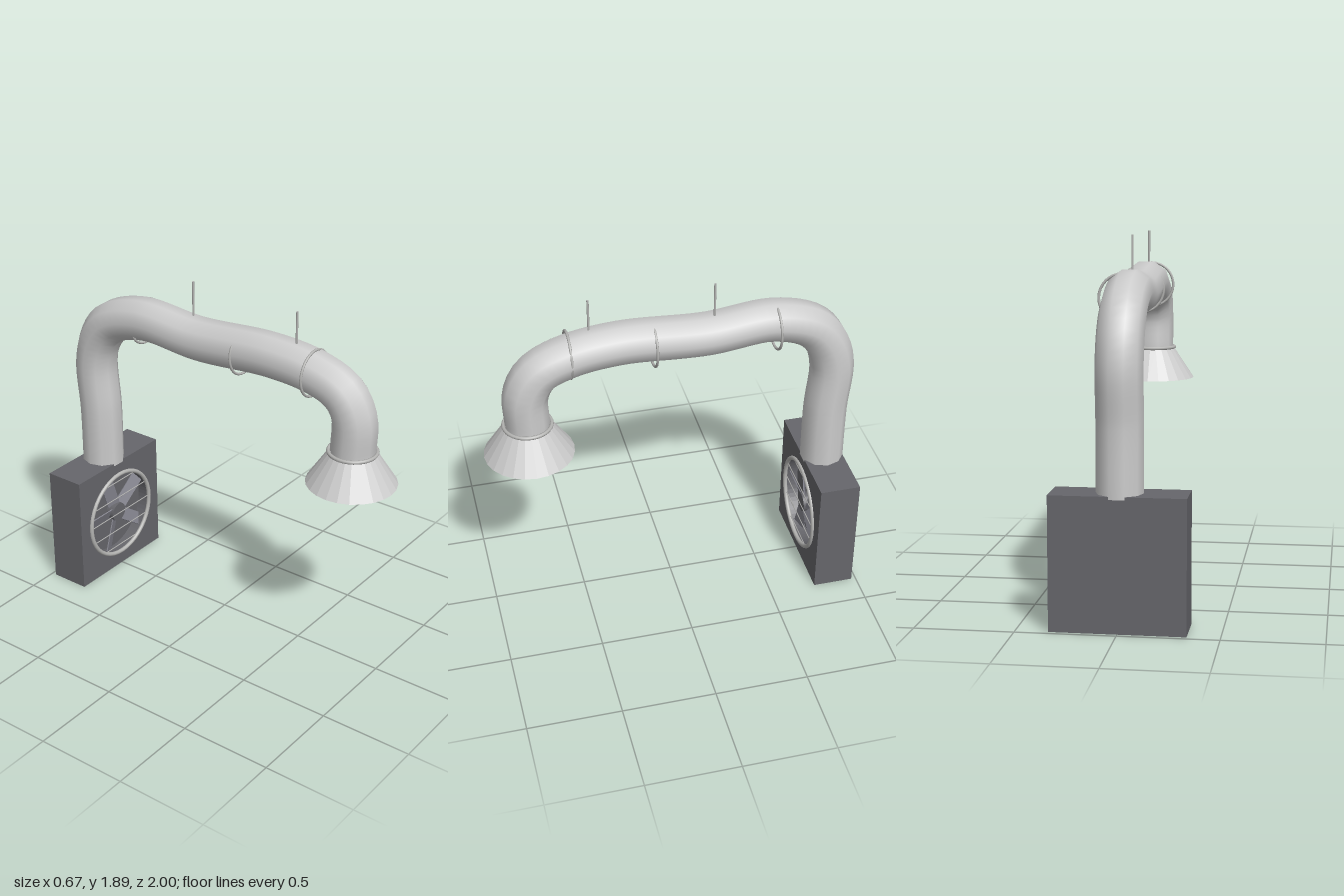
import * as THREE from 'three';

export function createModel() {
  const model = new THREE.Group();
  model.name = 'ventilationDuct';

  const material = (name, color, extra = {}) => {
    const m = new THREE.MeshStandardMaterial({ color, ...extra });
    m.name = name;
    return m;
  };
  const ductMetal = material('ductMetal', 0xcccccc);
  const hoodMetal = material('hoodMetal', 0xcccccc, { flatShading: true });
  const trimMetal = material('trimMetal', 0xb4b4b2);
  const housingGrey = material('housingGrey', 0x66666b);
  const bladeGrey = material('bladeGrey', 0x85858f);

  const add = (name, geometry, mat, x = 0, y = 0, z = 0, parent = model) => {
    const mesh = new THREE.Mesh(geometry, mat);
    mesh.name = name;
    mesh.position.set(x, y, z);
    parent.add(mesh);
    return mesh;
  };

  // Fan housing: solid back slab and a front plate with a round opening
  const half = 0.337, fanY = 0.338, front = -0.755, recess = 0.07, back = -0.975;
  const slab = front - recess - back;
  add('housingBack', new THREE.BoxGeometry(half * 2, half * 2, slab), housingGrey, 0, half, back + slab / 2);
  const plate = new THREE.Shape([[-1, -1], [1, -1], [1, 1], [-1, 1]]
    .map(([x, y]) => new THREE.Vector2(x * half, y * half)));
  const opening = new THREE.Path();
  opening.absarc(0, 0, 0.25, 0, Math.PI * 2, true);
  plate.holes.push(opening);
  add('housingFront', new THREE.ExtrudeGeometry(plate, { depth: recess, bevelEnabled: false, curveSegments: 32 }),
    housingGrey, 0, half, front - recess);

  // Fan with five pitched blades
  const fan = new THREE.Group();
  fan.name = 'fan';
  fan.position.set(0, fanY, -0.79);
  model.add(fan);
  const hub = add('fanHub', new THREE.CylinderGeometry(0.055, 0.055, 0.05, 20), housingGrey, 0, 0, 0, fan);
  hub.rotation.x = Math.PI / 2;
  for (let i = 0; i < 5; i++) {
    const arm = new THREE.Group();
    arm.name = 'bladeArm';
    arm.rotation.z = Math.PI + (i * Math.PI * 2) / 5;
    fan.add(arm);
    const blade = add('fanBlade', new THREE.BoxGeometry(0.195, 0.074, 0.006), bladeGrey, 0.145, 0, 0, arm);
    blade.rotation.x = -0.4;
  }

  // Guard ring and horizontal bars
  add('guardRing', new THREE.TorusGeometry(0.255, 0.012, 10, 40), trimMetal, 0, fanY, -0.752);
  for (let i = -2; i <= 2; i++) {
    const dy = i * 0.105;
    const bar = add('guardBar', new THREE.CylinderGeometry(0.003, 0.003, 2 * Math.sqrt(0.0635 - dy * dy), 6),
      trimMetal, 0, fanY + dy, -0.756);
    bar.rotation.z = Math.PI / 2;
  }

  // Duct: riser, overhead run and front drop
  const path = new THREE.CatmullRomCurve3([
    [0, 0.66, -0.865], [0, 1.0, -0.867], [0, 1.28, -0.885], [0, 1.43, -0.845],
    [0, 1.54, -0.755], [0.005, 1.61, -0.54], [0.016, 1.588, -0.18], [0.03, 1.614, 0.28],
    [0.042, 1.585, 0.54], [0.05, 1.515, 0.7], [0.053, 1.4, 0.765], [0.053, 1.2, 0.765],
  ].map((p) => new THREE.Vector3(...p)));
  add('duct', new THREE.TubeGeometry(path, 64, 0.118, 10, false), ductMetal);

  // Intake hood and its collar
  add('hood', new THREE.CylinderGeometry(0.125, 0.237, 0.17, 24), hoodMetal, 0.053, 1.12, 0.765);
  const collar = add('hoodCollar', new THREE.TorusGeometry(0.125, 0.01, 8, 32), trimMetal, 0.053, 1.211, 0.765);
  collar.rotation.x = Math.PI / 2;

  // Hoops around the overhead run
  for (const z of [0.535, 0.1, -0.55]) {
    add('ductHoop', new THREE.TorusGeometry(0.122, 0.007, 8, 32), trimMetal, 0.03, 1.587, z);
  }

  // Hanging rods
  for (const z of [0.425, -0.225]) {
    add('hangingRod', new THREE.CylinderGeometry(0.006, 0.006, 0.24, 8), trimMetal, 0.03, 1.77, z);
  }

  return model;
}
